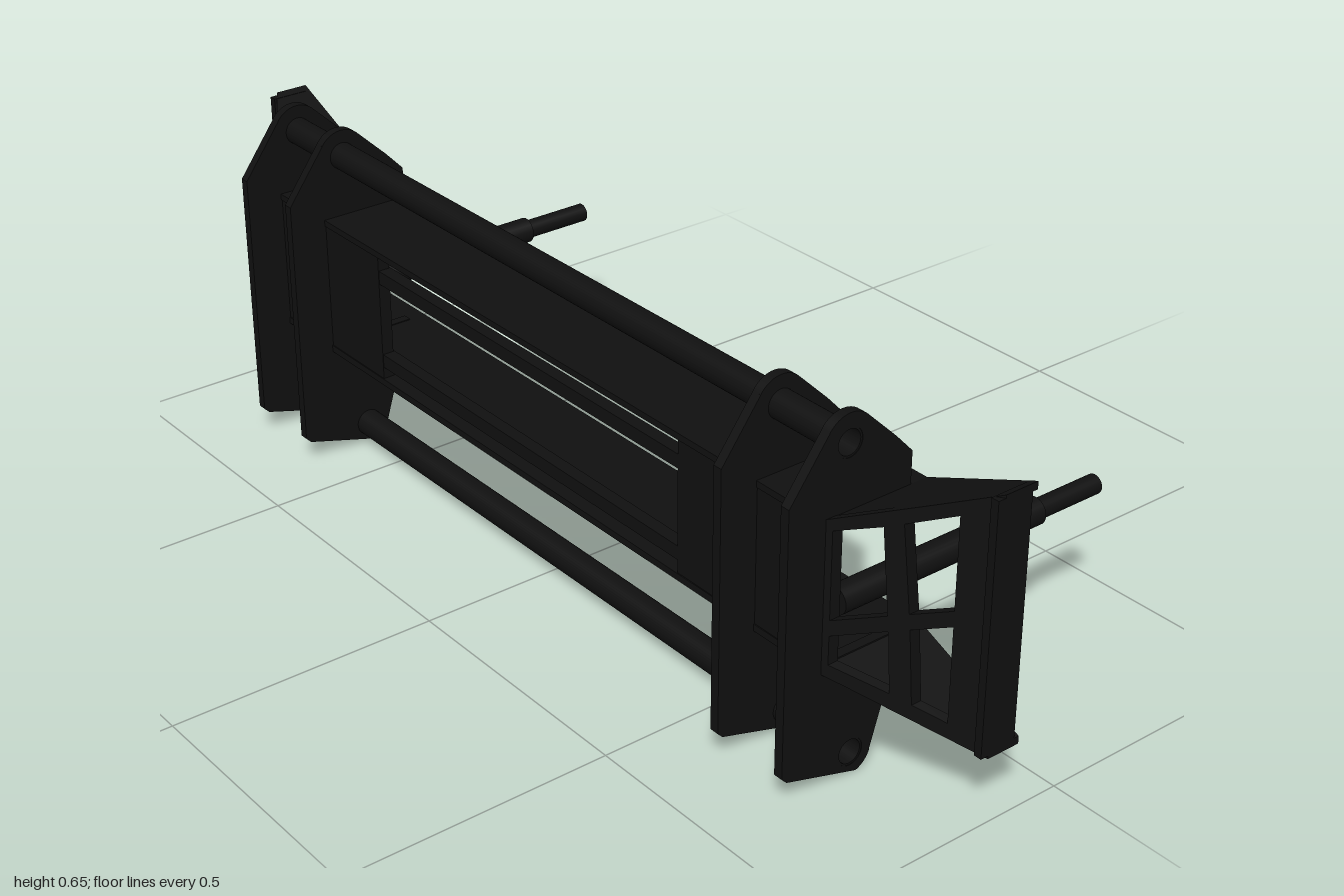
import * as THREE from 'three';

const black = new THREE.MeshStandardMaterial({ color: 0x101010 });
const grey = new THREE.MeshStandardMaterial({ color: 0xcccccc });

function add(parent, name, geometry, material = black) {
  const mesh = new THREE.Mesh(geometry, material);
  mesh.name = name;
  parent.add(mesh);
  return mesh;
}

// Box given by its limits on each axis
function box(x0, x1, y0, y1, z0, z1) {
  return new THREE.BoxGeometry(x1 - x0, y1 - y0, z1 - z0)
    .translate((x0 + x1) / 2, (y0 + y1) / 2, (z0 + z1) / 2);
}

const points = (list) => list.map(([a, b]) => new THREE.Vector2(a, b));

function extrude(shape, depth) {
  return new THREE.ExtrudeGeometry(shape, { depth, bevelEnabled: false, curveSegments: 20 })
    .translate(0, 0, -depth / 2);
}

// Shape drawn in (z, y), extruded along x and centred on x = 0
const extrudeX = (shape, width) => extrude(shape, width).rotateY(-Math.PI / 2);

// Moves every vertex by a rule
function deform(geometry, rule) {
  const p = geometry.attributes.position;
  const v = new THREE.Vector3();
  for (let i = 0; i < p.count; i++) {
    rule(v.fromBufferAttribute(p, i));
    p.setXYZ(i, v.x, v.y, v.z);
  }
  geometry.computeVertexNormals();
  return geometry;
}

const tubes = [{ name: 'upperTube', z: 0.254, y: 0.608 }, { name: 'lowerTube', z: 0.229, y: 0.045 }];

// Upright plate with rounded lobes, tube holes and a notch behind the face
function plateShape() {
  const s = new THREE.Shape();
  s.moveTo(0.37, 0.055);
  s.lineTo(0.37, 0.535);
  s.lineTo(0.295, 0.636);
  s.absarc(0.254, 0.608, 0.05, 0.6, Math.PI - 0.86, false);
  s.lineTo(0.16, 0.587);
  s.lineTo(0.125, 0.55);
  s.lineTo(0.125, 0.48);
  s.lineTo(0.265, 0.48);
  s.lineTo(0.265, 0.235);
  s.lineTo(0.125, 0.235);
  s.lineTo(0.188, 0.031);
  s.absarc(0.229, 0.045, 0.044, Math.PI + 0.3, Math.PI * 2 - 1.9, false);
  s.lineTo(0.36, 0.045);
  for (const t of tubes) {
    s.holes.push(new THREE.Path().absarc(t.z, t.y, 0.0255, 0, Math.PI * 2, true));
  }
  return s;
}

// Swept frame on one end, built for +x
function buildWing() {
  const wing = new THREE.Group();
  const s = new THREE.Shape(points([[0.77, 0.22], [1, 0.13], [1, 0.585], [0.77, 0.49]]));
  const windows = [
    [[0.785, 0.318], [0.86, 0.345], [0.85, 0.497], [0.785, 0.475]],
    [[0.785, 0.238], [0.867, 0.208], [0.862, 0.318], [0.785, 0.29]],
    [[0.888, 0.355], [0.945, 0.375], [0.945, 0.538], [0.876, 0.508]],
    [[0.897, 0.195], [0.945, 0.175], [0.945, 0.347], [0.89, 0.328]],
  ];
  for (const w of windows) s.holes.push(new THREE.Path(points(w)));
  add(wing, 'wingFrame', deform(extrude(s, 0.02), (v) => { v.z += 0.29 - (v.x - 0.77) * 0.63; }));

  // Sloping top and bottom flanges
  const plan = new THREE.Shape(points([[0.77, 0.3], [1, 0.155], [1, 0.09], [0.77, 0.09]]));
  for (const [name, y, slope] of [['wingTopFlange', 0.482, 0.42], ['wingBottomFlange', 0.228, -0.42]]) {
    const g = extrude(plan, 0.014).rotateX(Math.PI / 2);
    add(wing, name, deform(g, (v) => { v.y += y + (v.x - 0.77) * slope; }));
  }
  add(wing, 'wingEndPost', box(0.985, 1, 0.13, 0.58, 0.1, 0.17));
  return wing;
}

function buildSide(name, mirror) {
  const side = new THREE.Group();
  side.name = name;
  side.scale.x = mirror;

  for (const [part, x] of [['outerPlate', 0.767], ['innerPlate', 0.613]]) {
    add(side, part, extrudeX(plateShape(), 0.018)).position.x = x;
  }
  add(side, 'facePanel', box(0.43, 0.775, 0.22, 0.49, 0.275, 0.298));

  // Stepped mounting arm reaching backwards
  const arm = new THREE.CylinderGeometry(0.025, 0.025, 0.44, 24).rotateX(Math.PI / 2);
  add(side, 'mountingArm', arm).position.set(0.71, 0.285, -0.01);
  const tip = new THREE.CylinderGeometry(0.018, 0.018, 0.15, 24).rotateX(Math.PI / 2);
  add(side, 'mountingArmTip', tip).position.set(0.71, 0.285, -0.295);

  const wing = buildWing();
  wing.name = 'wing';
  side.add(wing);
  return side;
}

export function createModel() {
  const model = new THREE.Group();
  model.name = 'bumper';

  // Full-width hollow tubes
  for (const t of tubes) {
    const ring = new THREE.Shape().absarc(0, 0, 0.0255, 0, Math.PI * 2, false);
    ring.holes.push(new THREE.Path().absarc(0, 0, 0.022, 0, Math.PI * 2, true));
    add(model, t.name, extrudeX(ring, 1.55)).position.set(0, t.y, t.z);
  }

  // Central beam: top and bottom plates and two face bars
  add(model, 'topPlate', box(-0.775, 0.775, 0.479, 0.491, 0.09, 0.3));
  add(model, 'bottomPlate', box(-0.775, 0.775, 0.22, 0.233, 0.09, 0.3));
  add(model, 'upperFaceBar', box(-0.44, 0.44, 0.425, 0.451, 0.272, 0.297));
  add(model, 'lowerFaceBar', box(-0.44, 0.44, 0.256, 0.282, 0.272, 0.297));

  // Folded rear shell with a pale inner panel
  const shell = new THREE.Shape(points([
    [0.027, 0.405], [-0.001, 0.405], [-0.026, 0.386], [-0.026, 0.267], [0, 0.253],
    [0, 0.256], [-0.023, 0.269], [-0.023, 0.384], [0, 0.402], [0.027, 0.402],
  ]));
  add(model, 'rearShell', extrudeX(shell, 1.04));
  add(model, 'innerPanel', new THREE.PlaneGeometry(1.04, 0.118), grey).position.set(0, 0.327, -0.0215);
  add(model, 'shellRod', box(-0.52, 0.52, 0.327, 0.331, -0.002, 0.002));

  model.add(buildSide('leftSide', 1), buildSide('rightSide', -1));
  return model;
}
